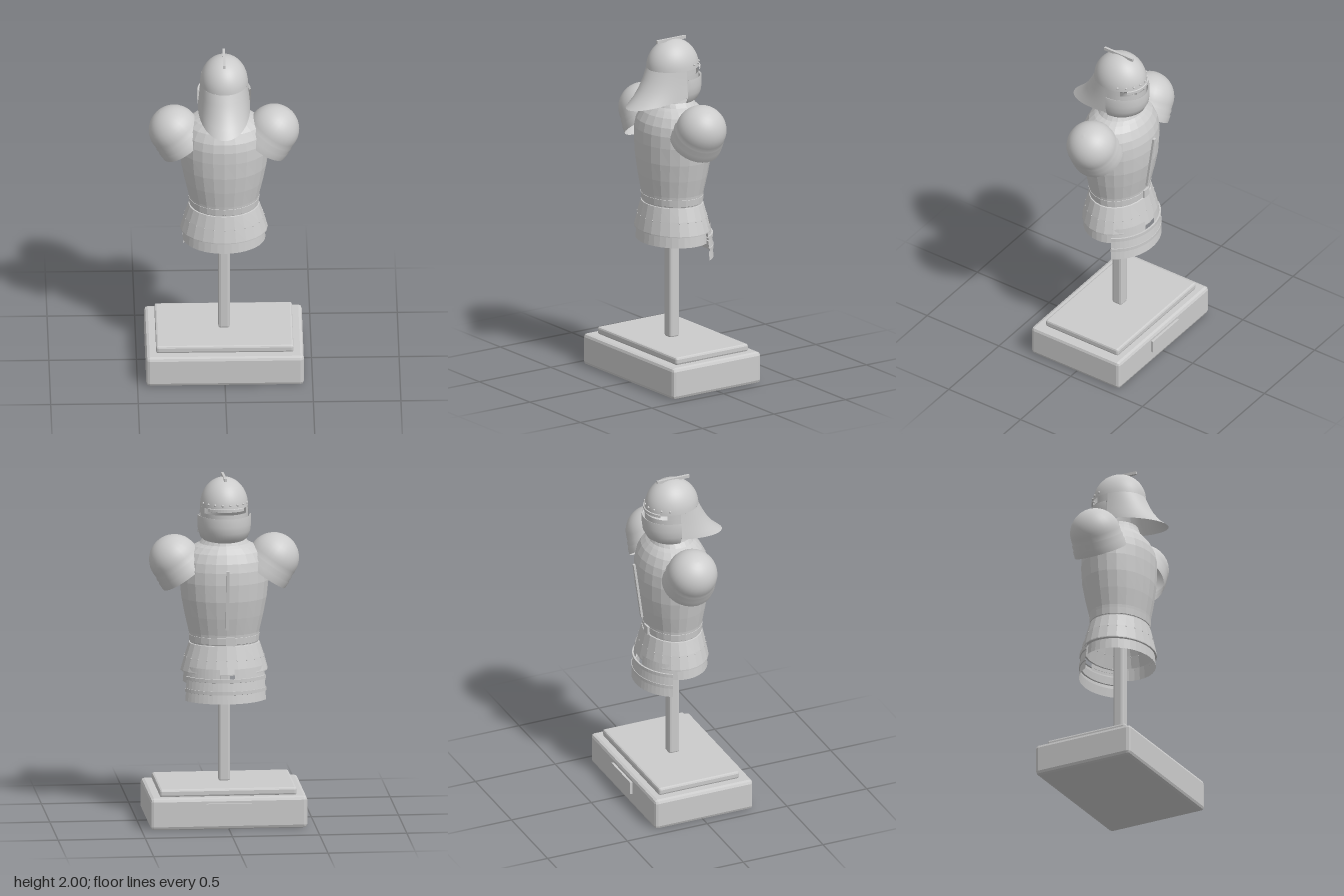
import * as THREE from 'three';
import { mergeVertices } from 'three/addons/utils/BufferGeometryUtils.js';
import { RoundedBoxGeometry } from 'three/addons/geometries/RoundedBoxGeometry.js';

const smooth = new THREE.MeshStandardMaterial({ color: 0xcccccc, side: THREE.DoubleSide });
const flat = new THREE.MeshStandardMaterial({ color: 0xcccccc, side: THREE.DoubleSide, flatShading: true });
const rad = THREE.MathUtils.degToRad;

// Point on an oval; angle 0 is the breast side (-z), row = [y, rx, rzBreast, rzBack, yBack]
function ovalPoint([y, rx, rzF, rzB = rzF, yB = y], deg) {
  const s = Math.sin(rad(deg)), c = Math.cos(rad(deg));
  return c >= 0 ? [rx * s, y, -rzF * c] : [rx * s, y + (yB - y) * -c, -rzB * c];
}

// Plate lofted through oval rows, listed top to bottom, between two angles
function plate(name, rows, from = 0, to = 360, segs = 24, material = flat) {
  const pos = [], index = [], n = segs + 1;
  rows.forEach((row) => {
    for (let j = 0; j < n; j++) pos.push(...ovalPoint(row, from + ((to - from) * j) / segs));
  });
  for (let i = 0; i < rows.length - 1; i++) {
    for (let j = 0; j < segs; j++) {
      const a = i * n + j, c = a + n;
      index.push(a, a + 1, c, a + 1, c + 1, c);
    }
  }
  let geo = new THREE.BufferGeometry();
  geo.setAttribute('position', new THREE.Float32BufferAttribute(pos, 3));
  geo.setIndex(index);
  geo = mergeVertices(geo, 1e-5);
  geo.computeVertexNormals();
  const mesh = new THREE.Mesh(geo, material);
  mesh.name = name;
  return mesh;
}

function block(name, w, h, d, x, y, z, bevel = 0) {
  const geo = bevel ? new RoundedBoxGeometry(w, h, d, 1, bevel) : new THREE.BoxGeometry(w, h, d);
  const mesh = new THREE.Mesh(geo, flat);
  mesh.name = name;
  mesh.position.set(x, y, z);
  return mesh;
}

// Row of rivets set on an oval
function rivets(name, row, from, to, count, r) {
  const group = new THREE.Group();
  group.name = name;
  const geo = new THREE.SphereGeometry(r, 8, 6);
  for (let i = 0; i < count; i++) {
    const m = new THREE.Mesh(geo, smooth);
    m.position.set(...ovalPoint(row, from + ((to - from) * i) / (count - 1)));
    group.add(m);
  }
  return group;
}

function makeStand() {
  const g = new THREE.Group();
  g.name = 'stand';
  g.add(
    block('base', 0.9, 0.185, 0.615, 0, 0.0925, 0.006, 0.02),
    block('plinth', 0.785, 0.045, 0.505, 0, 0.205, 0, 0.012),
    block('plaque', 0.26, 0.075, 0.016, 0, 0.115, -0.307),
    block('post', 0.066, 0.9, 0.066, 0, 0.67, 0.008, 0.014),
  );
  return g;
}

function makeHelmet() {
  const g = new THREE.Group();
  g.name = 'helmet';
  // Domed skull
  const dome = [];
  for (let i = 0; i <= 12; i++) {
    const a = (i / 12) * (Math.PI / 2), s = Math.sin(a);
    dome.push([1.832 + 0.162 * Math.cos(a), 0.137 * s, 0.154 * s, 0.16 * s]);
  }
  g.add(plate('skull', dome, 0, 360, 40, smooth));
  // Sweeping neck guard
  g.add(plate('neckGuard', [
    [1.832, 0.137, 0.154, 0.16], [1.78, 0.14, 0.154, 0.186, 1.775], [1.73, 0.145, 0.154, 0.217, 1.72],
    [1.7, 0.148, 0.154, 0.26, 1.665], [1.675, 0.15, 0.154, 0.312, 1.62],
  ], 90, 270, 28, smooth));
  // Face plate, leaving the eye slit open
  g.add(plate('facePlate', [[1.8, 0.137, 0.152], [1.7, 0.135, 0.148]], -90, 90, 24, smooth));
  for (const s of [-1, 1]) {
    g.add(plate('cheek', [[1.832, 0.137, 0.154], [1.8, 0.137, 0.152]], s * 75 - 15, s * 75 + 15, 4, smooth));
  }
  g.add(plate('browBar', [[1.836, 0.14, 0.156], [1.834, 0.147, 0.162], [1.818, 0.147, 0.162], [1.816, 0.14, 0.156]], -45, 45, 14));
  g.add(rivets('browRivets', [1.856, 0.136, 0.154], -66, 66, 8, 0.007));
  // Chin guard with a turned-in top edge
  g.add(plate('chinGuard', [
    [1.775, 0.143, 0.16], [1.78, 0.15, 0.167], [1.78, 0.154, 0.17], [1.73, 0.154, 0.17], [1.69, 0.15, 0.165],
    [1.65, 0.136, 0.145], [1.62, 0.105, 0.105],
  ], -90, 90, 24, smooth));
  g.add(block('crest', 0.014, 0.018, 0.2, 0, 1.991, 0.013));
  return g;
}

function makeTorso() {
  const g = new THREE.Group();
  g.name = 'torso';
  g.add(plate('cuirass', [
    [1.6, 0.175, 0.14, 0.14], [1.57, 0.215, 0.165, 0.167], [1.52, 0.243, 0.188, 0.193], [1.47, 0.253, 0.2, 0.204],
    [1.4, 0.255, 0.205, 0.206], [1.3, 0.245, 0.2, 0.203], [1.2, 0.226, 0.182, 0.192], [1.1, 0.203, 0.16, 0.176],
    [1.03, 0.195, 0.152, 0.168],
  ]));
  g.add(plate('collar', [[1.66, 0.118, 0.11], [1.64, 0.122, 0.115], [1.615, 0.142, 0.125], [1.6, 0.175, 0.14]]));
  g.add(plate('belt', [[1.085, 0.198, 0.156, 0.172], [1.083, 0.203, 0.16, 0.176], [1.045, 0.2, 0.158, 0.173], [1.04, 0.193, 0.15, 0.166]]));
  g.add(block('buckle', 0.05, 0.05, 0.02, -0.02, 1.065, -0.158));
  // Lance rest strip standing off the breast
  const strip = block('breastStrip', 0.018, 0.355, 0.013, 0, 1.315, -0.208);
  strip.rotation.x = -0.137;
  g.add(strip);
  return g;
}

function makeSkirt() {
  const g = new THREE.Group();
  g.name = 'skirt';
  g.add(plate('fauld', [[1.038, 0.19, 0.15, 0.165], [1.035, 0.203, 0.16, 0.174], [0.96, 0.228, 0.178, 0.19], [0.88, 0.25, 0.198, 0.206]]));
  g.add(plate('fauldLip', [[0.88, 0.25, 0.198, 0.206], [0.874, 0.25, 0.198, 0.206], [0.872, 0.232, 0.185, 0.195]]));
  g.add(rivets('fauldRivets', [0.955, 0.229, 0.179, 0.191], 0, 345, 24, 0.004));
  g.add(plate('lowerBand', [[0.885, 0.23, 0.185, 0.195], [0.81, 0.237, 0.19, 0.202]], 62, 298, 24));
  // Hanging breast-side lames: two upper tabs over two full bands
  for (const s of [-1, 1]) {
    g.add(plate('tassetTab', [[0.91, 0.238, 0.2], [0.84, 0.246, 0.208]], s * 37 - 27, s * 37 + 27, 10));
  }
  for (const [top, bottom, r] of [[0.855, 0.785, 0], [0.785, 0.712, 0.004]]) {
    g.add(plate('tassetBand', [
      [top, 0.242 + r, 0.205 + r], [top, 0.254 + r, 0.216 + r], [top - 0.02, 0.254 + r, 0.216 + r],
      [top - 0.022, 0.247 + r, 0.21 + r], [bottom, 0.252 + r, 0.217 + r],
    ], -65, 65, 20));
  }
  return g;
}

// Domed shoulder guard with a flared, ridged rim
function makeShoulder(side) {
  const r = 0.145, pts = [[0.153, -0.108], [0.153, -0.066], [0.148, -0.062], [0.15, -0.035], [0.145, -0.03]];
  const profile = pts.map(([x, y]) => new THREE.Vector2(x, y));
  for (let i = 0; i <= 10; i++) {
    const a = (i / 10) * (Math.PI / 2);
    profile.push(new THREE.Vector2(r * Math.cos(a), r * Math.sin(a)));
  }
  const mesh = new THREE.Mesh(new THREE.LatheGeometry(profile, 28), smooth);
  mesh.name = side > 0 ? 'leftShoulder' : 'rightShoulder';
  mesh.position.set(side * 0.285, 1.518, 0.003);
  mesh.rotation.z = -side * rad(35);
  return mesh;
}

export function createModel() {
  const model = new THREE.Group();
  model.name = 'armourOnStand';
  model.add(makeStand(), makeSkirt(), makeTorso(), makeHelmet(), makeShoulder(1), makeShoulder(-1));
  return model;
}
